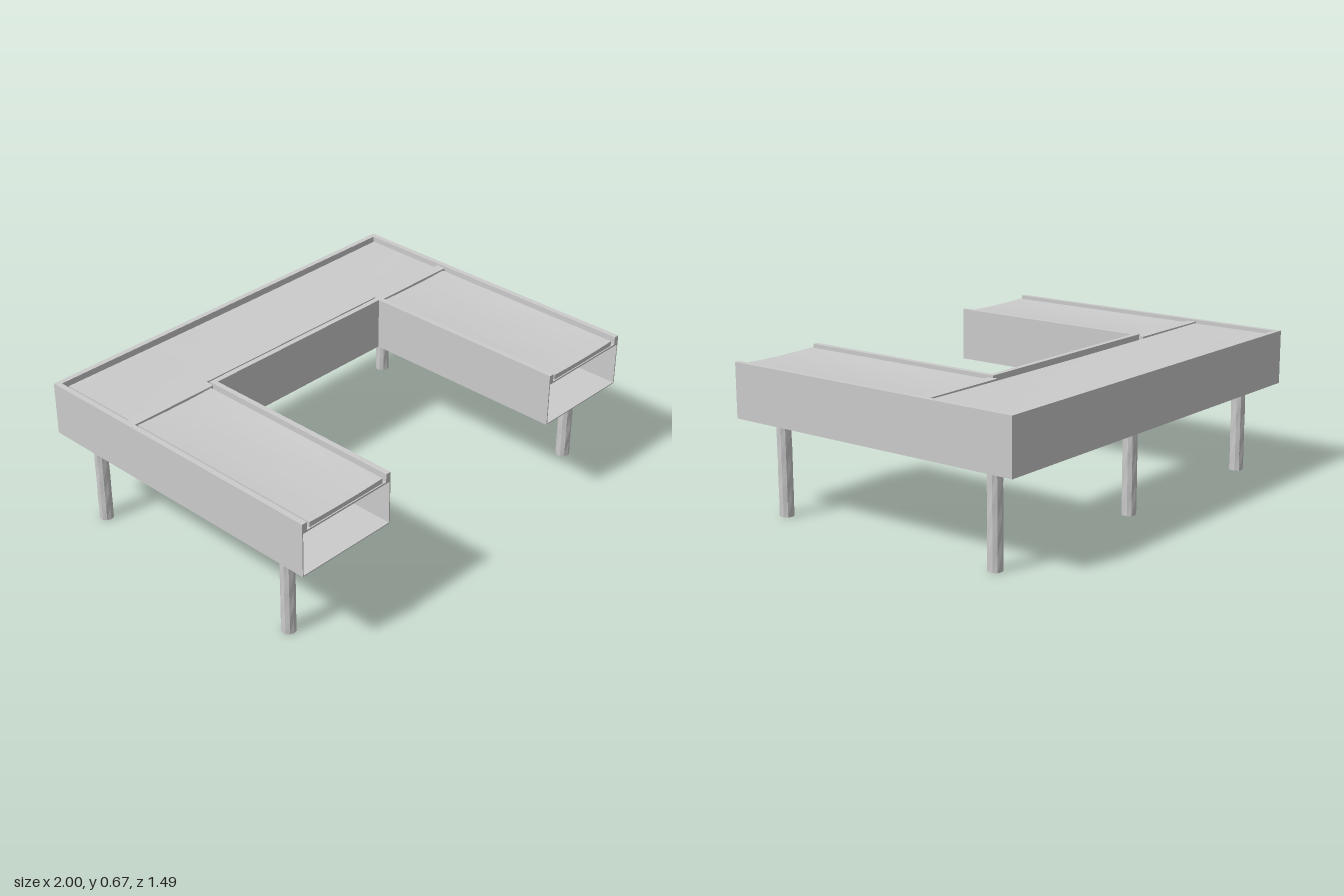
import * as THREE from 'three';

const material = new THREE.MeshStandardMaterial({ color: 0xcccccc, flatShading: true, side: THREE.DoubleSide });

const BOTTOM = 0.42, TOP = 0.667;    // body height range
const X = 1, Z = 0.745;              // outer half sizes
const INNER_X = 0.507, INNER_Z = -0.252; // knee opening

export function createModel() {
  const model = new THREE.Group();
  model.name = 'uShapedTable';

  const add = (name, geometry) => {
    const mesh = new THREE.Mesh(geometry, material);
    mesh.name = name;
    model.add(mesh);
    return mesh;
  };

  // Box given by its ranges
  const block = (name, x0, x1, y0, y1, z0, z1) =>
    add(name, new THREE.BoxGeometry(x1 - x0, y1 - y0, z1 - z0)
      .translate((x0 + x1) / 2, (y0 + y1) / 2, (z0 + z1) / 2));

  // U-shaped slab, pulled in from the outline by inset
  const slab = (name, y, thickness, inset) => {
    const ox = X - inset, ix = INNER_X + inset;
    const corners = [[-ox, -Z], [ox, -Z], [ox, Z], [ix, Z], [ix, INNER_Z - inset],
      [-ix, INNER_Z - inset], [-ix, Z], [-ox, Z]];
    const shape = new THREE.Shape(corners.map(([x, z]) => new THREE.Vector2(x, -z)));
    const geometry = new THREE.ExtrudeGeometry(shape, { depth: thickness, bevelEnabled: false });
    return add(name, geometry.rotateX(-Math.PI / 2).translate(0, y, 0));
  };

  slab('floor', BOTTOM, 0.005, 0);
  slab('deck', 0.622, 0.008, 0.004);

  // Thin walls below, thicker rim strips along their top; arm ends stay open
  const walls = (name, t, y0, y1) => {
    block(name + 'Back', -X, X, y0, y1, -Z, -Z + t);
    block(name + 'Knee', -INNER_X, INNER_X, y0, y1, INNER_Z - t, INNER_Z);
    for (const s of [-1, 1]) {
      const outer = [s * X, s * (X - t)].sort((a, b) => a - b);
      const inner = [s * INNER_X, s * (INNER_X + t)].sort((a, b) => a - b);
      block(name + 'Outer', ...outer, y0, y1, -Z + t, Z);
      block(name + 'Inner', ...inner, y0, y1, INNER_Z - t, Z);
    }
  };
  walls('wall', 0.005, BOTTOM, 0.625);
  walls('rim', 0.025, 0.622, TOP);

  // Top panels, slightly dished towards the middle
  const panel = (name, x0, x1, z0, z1) => {
    const w = x1 - x0, d = z1 - z0;
    const geometry = new THREE.BoxGeometry(w, 0.026, d, 8, 1, 8);
    const p = geometry.attributes.position;
    for (let i = 0; i < p.count; i++) {
      if (p.getY(i) < 0) continue;
      const u = 2 * p.getX(i) / w, v = 2 * p.getZ(i) / d;
      p.setY(i, p.getY(i) - 0.008 * (1 - u * u) * (1 - 0.5 * v * v));
    }
    geometry.computeVertexNormals();
    add(name, geometry.translate((x0 + x1) / 2, 0.641, (z0 + z1) / 2));
  };
  panel('backPanel', -0.955, 0.955, -0.70, -0.305);
  panel('rightPanel', -0.955, -0.548, -0.25, 0.74);
  panel('leftPanel', 0.548, 0.955, -0.25, 0.74);

  // Rails between the back panel and the arm panels
  block('rightRail', -0.975, -0.53, 0.625, 0.658, -0.30, -0.255);
  block('leftRail', 0.53, 0.975, 0.625, 0.658, -0.30, -0.255);

  // Rough round legs
  const legs = [[-0.9, 0.558], [0.909, 0.558], [-0.9, -0.59], [-0.01, -0.59], [0.909, -0.59]];
  for (const [x, z] of legs) {
    const geometry = new THREE.CylinderGeometry(0.032, 0.032, BOTTOM, 10, 6);
    const p = geometry.attributes.position;
    for (let i = 0; i < p.count; i++) {
      const a = Math.atan2(p.getZ(i), p.getX(i));
      const k = 1 + 0.03 * Math.sin(3 * a + 40 * p.getY(i));
      p.setX(i, p.getX(i) * k);
      p.setZ(i, p.getZ(i) * k);
    }
    geometry.computeVertexNormals();
    add('leg', geometry.translate(x, BOTTOM / 2, z));
  }

  return model;
}
